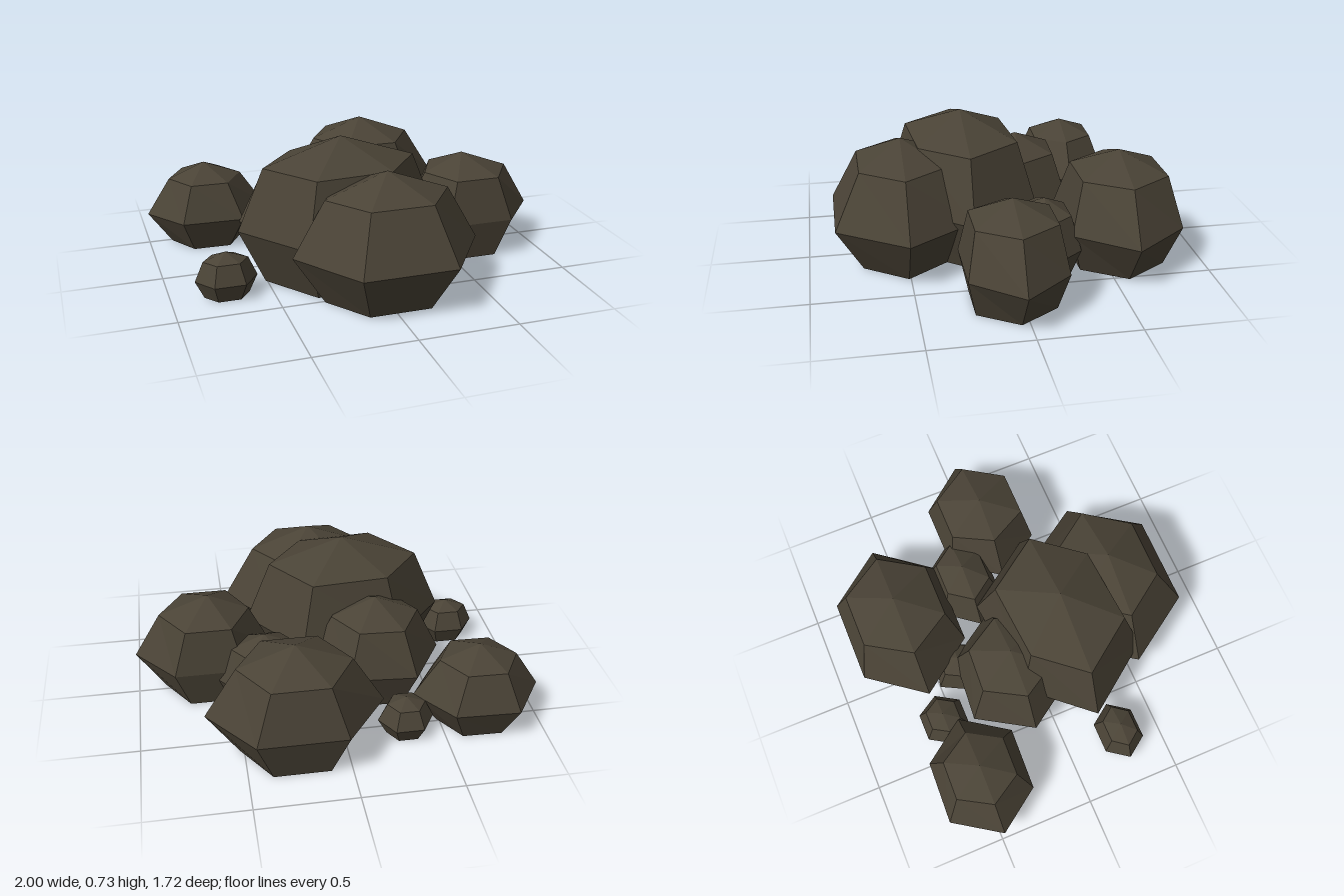
import * as THREE from 'three';

const stone = new THREE.MeshStandardMaterial({ color: 0x4a4336, flatShading: true });
stone.name = 'dark stone';

// Peak x and z, reach to -x, reach to +x, half depth, height,
// width and depth scale of the shoulder and foot rings, slant of the front and back edges
const rocks = {
  frontBoulder: [0.02, 0.51, 0.47, 0.47, 0.35, 0.64, 0.66, 0.62, 0],
  centreBoulder: [-0.11, 0.185, 0.53, 0.51, 0.33, 0.73, 0.75, 0.77, -0.1],
  backLeftBoulder: [-0.23, -0.13, 0.34, 0.34, 0.265, 0.54, 0.66, 0.72, 0.08],
  middleRock: [0.345, -0.17, 0.255, 0.255, 0.165, 0.4, 0.68, 0.72, 0],
  rightBoulder: [0.61, 0.04, 0.32, 0.39, 0.24, 0.53, 0.65, 0.82, 0],
  backRightBoulder: [0.24, -0.575, 0.43, 0.44, 0.285, 0.59, 0.64, 0.77, 0],
  farLeftBoulder: [-0.685, -0.485, 0.315, 0.325, 0.23, 0.44, 0.61, 0.7, 0.04],
  backPebble: [-0.31, -0.55, 0.14, 0.14, 0.115, 0.21, 0.68, 0.68, 0],
  leftPebble: [-0.725, 0.28, 0.155, 0.155, 0.108, 0.23, 0.72, 0.68, 0],
  hiddenPebble: [-0.07, -0.37, 0.14, 0.14, 0.12, 0.26, 0.7, 0.7, 0.2],
};

// A six-sided, four-band ball, stretched and pressed flat against the ground
function makeRock(name, [x, z, left, right, halfDepth, height, spreadX, spreadZ, slant]) {
  const geometry = new THREE.SphereGeometry(1, 6, 4).toNonIndexed();
  const points = geometry.attributes.position;
  const hexDepth = Math.sin(Math.PI / 3);

  for (let i = 0; i < points.count; i++) {
    const y = points.getY(i);
    const onWaist = Math.abs(y) < 0.1;
    const ux = points.getX(i) * (onWaist ? 1 : spreadX * Math.SQRT2);
    const uz = (points.getZ(i) / hexDepth) * (onWaist ? 1 : spreadZ * Math.SQRT2);
    const px = ux * (ux < 0 ? left : right);
    const pz = uz * halfDepth + px * slant * Math.abs(uz);
    points.setXYZ(i, px, Math.max(0, height * (0.39 + 0.61 * y)), pz);
  }
  geometry.computeVertexNormals();

  const mesh = new THREE.Mesh(geometry, stone);
  mesh.name = name;
  mesh.position.set(x, 0, z);
  return mesh;
}

export function createModel() {
  const group = new THREE.Group();
  group.name = 'rockCluster';
  for (const [name, values] of Object.entries(rocks)) group.add(makeRock(name, values));
  return group;
}
